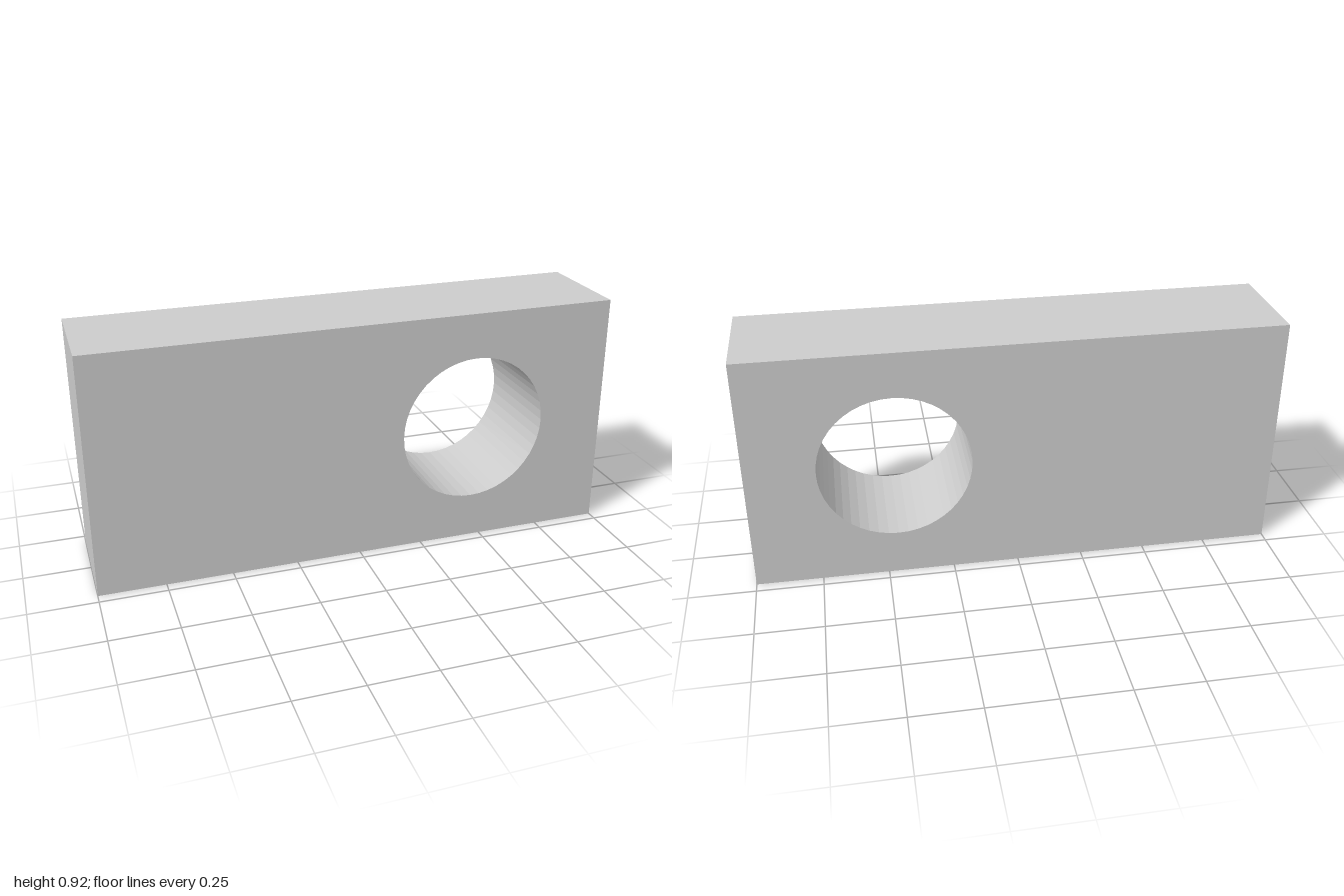
import * as THREE from 'three';

const WIDTH = 2, HEIGHT = 0.917, DEPTH = 0.417;
const HOLE = { x: 0.456, y: HEIGHT / 2, radius: 0.285 };

export function createModel() {
  const group = new THREE.Group();
  group.name = 'drilledBlock';

  // Rectangular front outline
  const outline = new THREE.Shape();
  outline.moveTo(-WIDTH / 2, 0);
  outline.lineTo(WIDTH / 2, 0);
  outline.lineTo(WIDTH / 2, HEIGHT);
  outline.lineTo(-WIDTH / 2, HEIGHT);
  outline.closePath();

  // Round through-hole, off-centre towards +x
  const hole = new THREE.Path();
  hole.absarc(HOLE.x, HOLE.y, HOLE.radius, 0, Math.PI * 2, true);
  outline.holes.push(hole);

  // Block extruded front to back, centred on z
  const geometry = new THREE.ExtrudeGeometry(outline, {
    depth: DEPTH,
    bevelEnabled: false,
    curveSegments: 24,
  });
  geometry.translate(0, 0, -DEPTH / 2);

  const material = new THREE.MeshStandardMaterial({ color: 0xcccccc, flatShading: true });
  const block = new THREE.Mesh(geometry, material);
  block.name = 'blockWithHole';
  group.add(block);
  return group;
}
